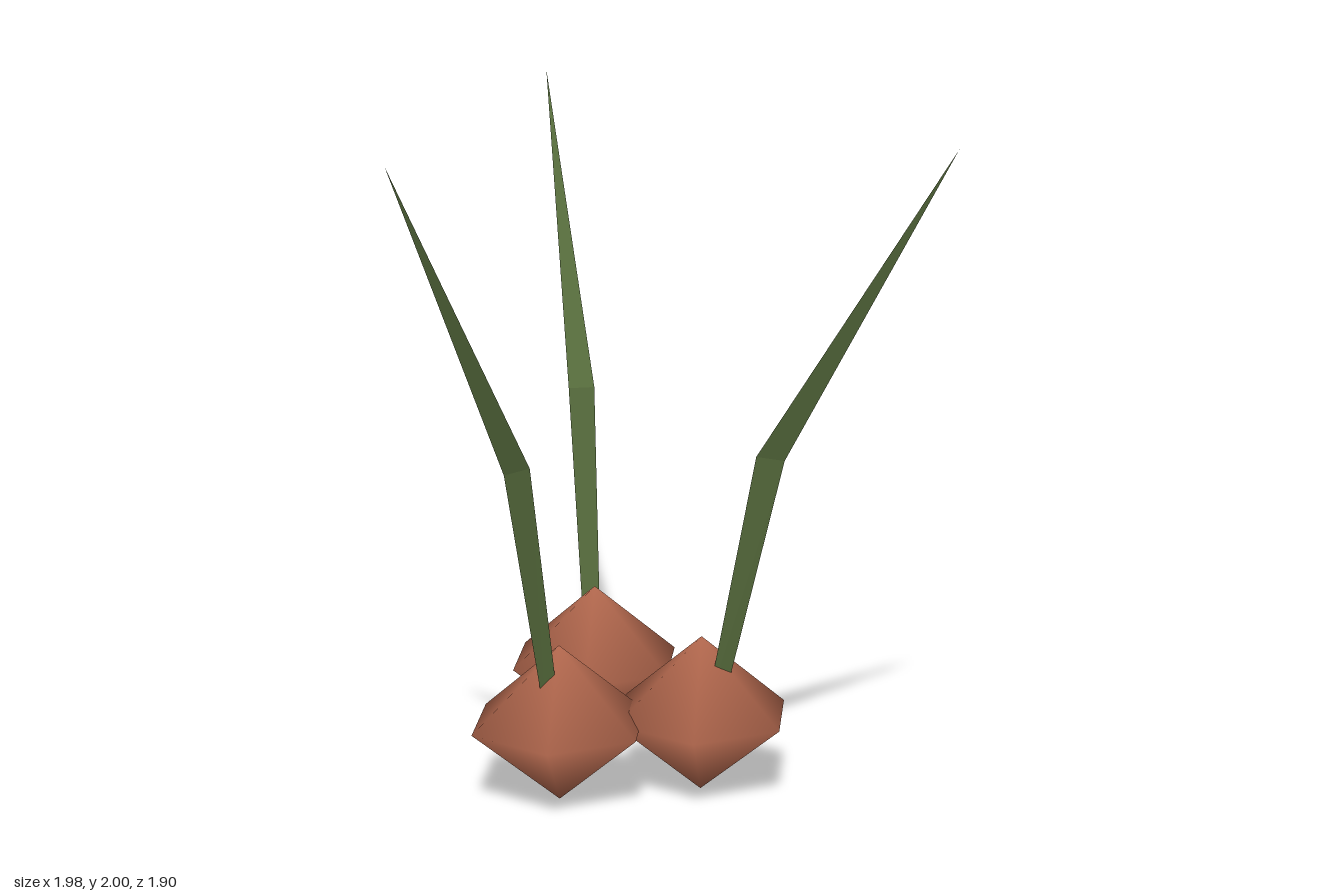
import * as THREE from 'three';

const bulbMaterial = new THREE.MeshStandardMaterial({ color: 0xb86b50 });
bulbMaterial.name = 'terracotta bulb';
const leafMaterial = new THREE.MeshStandardMaterial({ color: 0x566b3c });
leafMaterial.name = 'leaf green';

// Bulb: six-sided double cone with smooth normals
function makeBulb() {
  const geometry = new THREE.SphereGeometry(0.278, 6, 2);
  geometry.scale(1, 0.24 / 0.278, 1);
  const bulb = new THREE.Mesh(geometry, bulbMaterial);
  bulb.name = 'bulb';
  bulb.position.y = 0.24;
  return bulb;
}

// Leaf: triangular blade with a flat inner face and an outer ridge, leaning to +x
function makeLeaf() {
  const section = (innerX, innerY, ridgeX, ridgeY, half) => [
    [innerX, innerY, -half], [innerX, innerY, half], [ridgeX, ridgeY, 0],
  ];
  const base = section(0.032, 0.25, 0.071, 0.25, 0.025);
  const bend = section(0.212, 1.07, 0.282, 1.06, 0.041);
  const tip = [0.818, 2, 0];
  const points = [base[0], base[2], base[1]];
  for (let i = 0; i < 3; i++) {
    const j = (i + 1) % 3;
    points.push(base[i], base[j], bend[j], base[i], bend[j], bend[i]);
    points.push(bend[i], bend[j], tip);
  }
  const geometry = new THREE.BufferGeometry();
  geometry.setAttribute('position', new THREE.Float32BufferAttribute(points.flat(), 3));
  geometry.computeVertexNormals();
  const leaf = new THREE.Mesh(geometry, leafMaterial);
  leaf.name = 'leaf';
  return leaf;
}

export function createModel() {
  const model = new THREE.Group();
  model.name = 'sproutingBulbs';
  // Each plant: position, and the direction its leaf leans
  const plants = [
    { name: 'leftPlant', x: 0.167, z: -0.185, lean: [1, 0] },
    { name: 'frontPlant', x: -0.123, z: 0.132, lean: [0.07, 0.815] },
    { name: 'rightPlant', x: -0.388, z: -0.402, lean: [-0.61, -0.56] },
  ];
  for (const { name, x, z, lean } of plants) {
    const plant = new THREE.Group();
    plant.name = name;
    plant.position.set(x, 0, z);
    const leaf = makeLeaf();
    leaf.rotation.y = Math.atan2(-lean[1], lean[0]);
    plant.add(makeBulb(), leaf);
    model.add(plant);
  }
  return model;
}
